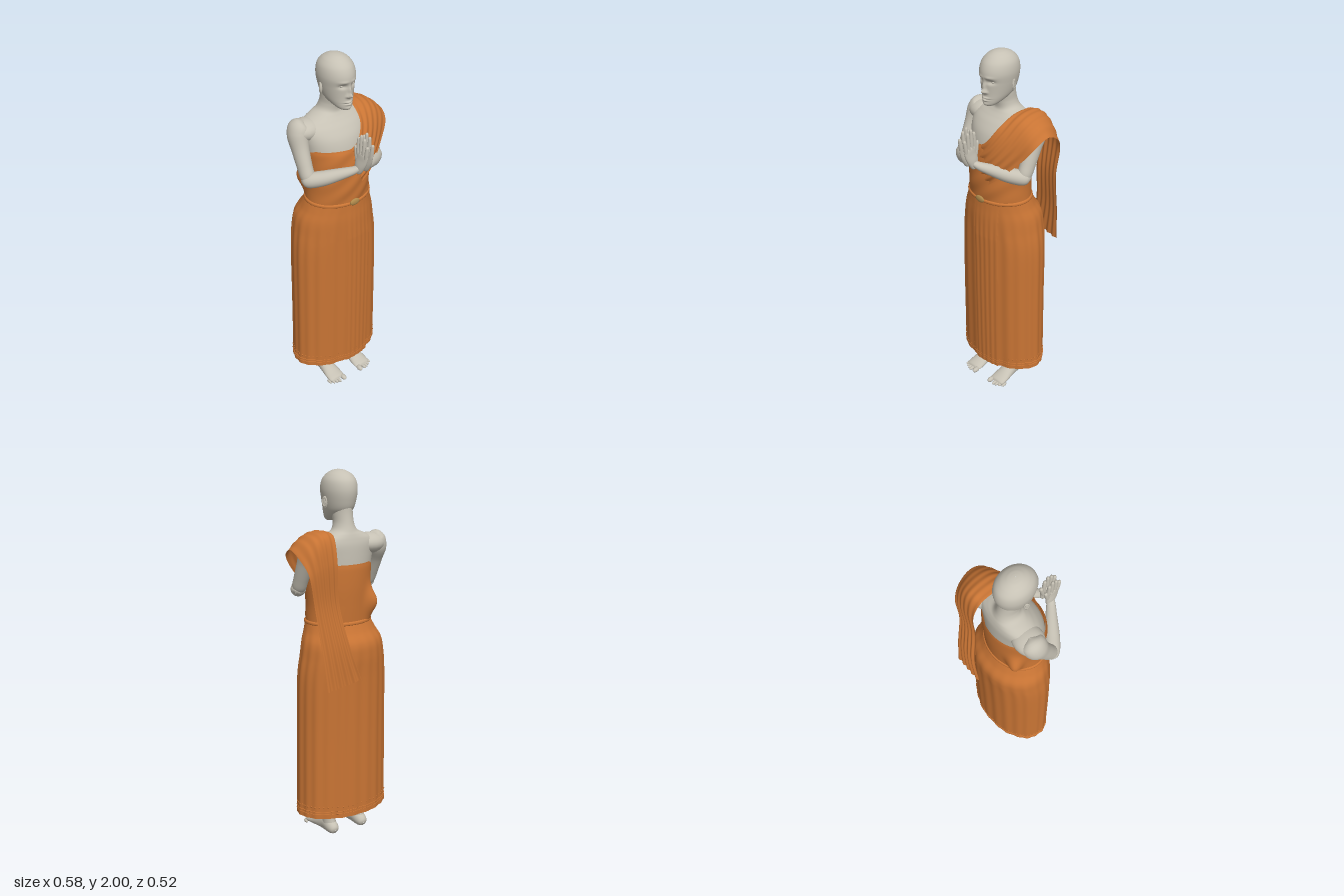
import * as THREE from 'three';
import { ParametricGeometry } from 'three/addons/geometries/ParametricGeometry.js';

const CX = -0.02; // body's own mid plane
const skin = new THREE.MeshStandardMaterial({ color: 0xc6c1b4 });
const cloth = new THREE.MeshStandardMaterial({ color: 0xc87434, side: THREE.DoubleSide });
const metal = new THREE.MeshStandardMaterial({ color: 0xb08a4c });

// Smooth interpolation through rows of numbers, t in 0..1
function smoothRows(rows) {
  const n = rows.length;
  const it = new THREE.CubicInterpolant(rows.map((_, i) => i), rows.flat(), rows[0].length);
  return t => Array.from(it.evaluate(Math.min(Math.max(t, 0), 1) * (n - 1)));
}

function mesh(parent, name, geometry, material) {
  const m = new THREE.Mesh(geometry, material);
  m.name = name;
  parent.add(m);
  return m;
}

// Upright oval body; rows [y, centre x, half width, front z, back z], bottom to top
function loft(rows, nu, nv, ripple = () => 0, face = () => 0) {
  const at = smoothRows(rows);
  return new ParametricGeometry((u, v, p) => {
    const [y, cx, rx, zf, zb] = at(v);
    const a = u * Math.PI * 2 + Math.PI;
    const r = ripple(a, y, Math.sin(a) * rx);
    const x = Math.sin(a) * (rx + r);
    p.set(cx + x, y, (zf + zb) / 2 + Math.cos(a) * ((zf - zb) / 2 + r));
    if (Math.cos(a) > 0) p.z += face(x, y);
  }, nu, nv);
}

// Limb along a path; rows [x, y, z, radius sideways, radius across]
function sweep(rows, nu = 20, nv = 24, ref = new THREE.Vector3(1, 0, 0)) {
  const at = smoothRows(rows);
  return new ParametricGeometry((u, v, p) => {
    const c = at(v), e = 0.01;
    const q0 = at(Math.max(v - e, 0)), q1 = at(Math.min(v + e, 1));
    const t = new THREE.Vector3(q1[0] - q0[0], q1[1] - q0[1], q1[2] - q0[2]).normalize();
    const b = new THREE.Vector3().crossVectors(t, ref).normalize();
    const n = new THREE.Vector3().crossVectors(b, t);
    const a = u * Math.PI * 2;
    p.set(c[0], c[1], c[2])
      .addScaledVector(n, Math.cos(a) * Math.max(c[3], 0.0005))
      .addScaledVector(b, Math.sin(a) * Math.max(c[4], 0.0005));
  }, nu, nv);
}

function ellipsoid(parent, name, material, pos, size) {
  const m = mesh(parent, name, new THREE.SphereGeometry(1, 20, 14), material);
  m.position.set(...pos);
  m.scale.set(...size);
  return m;
}

const bump = (x, y, x0, y0, sx, sy) => Math.exp(-(((x - x0) / sx) ** 2) - ((y - y0) / sy) ** 2);

function faceRelief(x, y) {
  const ax = Math.abs(x);
  return 0.022 * bump(x, y, 0, 1.811, 0.011, 0.011) + 0.014 * bump(x, y, 0, 1.835, 0.008, 0.026)
    + 0.006 * bump(ax, y, 0.013, 1.806, 0.007, 0.007)
    - 0.011 * bump(ax, y, 0.033, 1.862, 0.019, 0.011) + 0.004 * bump(ax, y, 0.03, 1.885, 0.025, 0.008)
    + 0.008 * bump(x, y, 0, 1.775, 0.02, 0.005) + 0.008 * bump(x, y, 0, 1.762, 0.017, 0.005)
    - 0.004 * bump(x, y, 0, 1.7685, 0.022, 0.002) + 0.006 * bump(x, y, 0, 1.742, 0.018, 0.011);
}

function addHead(g) {
  const head = [
    [1.727, 0.002, 0.064, 0.06], [1.732, 0.026, 0.081, 0.03], [1.746, 0.044, 0.087, -0.01],
    [1.77, 0.061, 0.088, -0.07], [1.8, 0.073, 0.088, -0.108], [1.85, 0.084, 0.091, -0.126],
    [1.9, 0.09, 0.097, -0.132], [1.945, 0.083, 0.083, -0.122], [1.975, 0.063, 0.056, -0.096],
    [1.992, 0.037, 0.026, -0.064], [1.998, 0.018, 0.004, -0.04], [2, 0.001, -0.017, -0.019],
  ].map(([y, rx, f, b]) => [y, CX, rx, f, b]);
  mesh(g, 'head', loft(head, 72, 110, undefined, faceRelief), skin);
  for (const s of [-1, 1]) {
    ellipsoid(g, 'eye', skin, [CX + s * 0.033, 1.862, 0.067], [0.014, 0.007, 0.009]);
    const ear = ellipsoid(g, 'ear', skin, [CX + s * 0.088, 1.835, -0.024], [0.007, 0.03, 0.015]);
    ear.rotation.y = s * 0.45;
    const rim = mesh(g, 'earRim', new THREE.TorusGeometry(0.012, 0.004, 8, 24), skin);
    rim.position.set(CX + s * 0.091, 1.839, -0.026);
    rim.rotation.y = Math.PI / 2 + s * 0.45;
    rim.scale.y = 1.8;
  }
}

function addArm(g, s) {
  const X = d => CX + s * d;
  const arm = new THREE.Group();
  arm.name = s > 0 ? 'leftArm' : 'rightArm';
  g.add(arm);
  ellipsoid(arm, 'shoulder', skin, [X(0.155), 1.614, -0.068], [0.095, 0.056, 0.079]);
  mesh(arm, 'upperArm', sweep([
    [X(0.165), 1.668, -0.072, 0.004, 0.004], [X(0.185), 1.647, -0.072, 0.046, 0.056],
    [X(0.204), 1.6, -0.065, 0.054, 0.064], [X(0.213), 1.53, -0.035, 0.044, 0.05],
    [X(0.217), 1.45, 0.002, 0.039, 0.043], [X(0.217), 1.395, 0.028, 0.036, 0.038],
    [X(0.217), 1.36, 0.04, 0.016, 0.016], [X(0.217), 1.355, 0.042, 0, 0]], 24, 32), skin);
  mesh(arm, 'forearm', sweep([
    [X(0.246), 1.37, 0.012, 0, 0], [X(0.238), 1.375, 0.018, 0.025, 0.025],
    [X(0.215), 1.385, 0.04, 0.04, 0.04], [X(0.16), 1.4, 0.087, 0.039, 0.04],
    [X(0.1), 1.422, 0.135, 0.031, 0.032], [X(0.05), 1.442, 0.175, 0.022, 0.025],
    [X(0.025), 1.458, 0.195, 0.016, 0.02]], 24, 32, new THREE.Vector3(0, 1, 0)), skin);
  mesh(arm, 'palm', sweep([
    [X(0.026), 1.425, 0.185, 0.002, 0.002], [X(0.024), 1.433, 0.187, 0.014, 0.02],
    [X(0.021), 1.47, 0.198, 0.017, 0.033], [X(0.018), 1.51, 0.208, 0.014, 0.04],
    [X(0.016), 1.545, 0.212, 0.011, 0.039], [X(0.015), 1.557, 0.212, 0, 0]]), skin);
  const finger = (name, y0, z0, y1, z1, r) => {
    const row = (t, k) => [X(0.017), y0 + (y1 - y0) * t, z0 + (z1 - z0) * t, r * k, r * k];
    mesh(arm, name, sweep([row(0, 1), row(0.35, 1.05), row(0.7, 0.95), row(0.92, 0.75), row(1, 0)], 12, 14), skin);
  };
  [[0.18, 0.186, 1.63], [0.201, 0.206, 1.65], [0.222, 0.229, 1.636], [0.24, 0.252, 1.6]]
    .forEach(([z0, z1, y1]) => finger('finger', 1.525, z0, y1, z1, 0.0105));
  finger('thumb', 1.475, 0.182, 1.575, 0.162, 0.012);
}

function addLeg(g, s) {
  const x = CX + s * 0.094;
  mesh(g, 'leg', sweep([
    [x, 0.03, -0.075, 0.034, 0.05], [x, 0.09, -0.065, 0.034, 0.048], [x, 0.17, -0.06, 0.04, 0.048],
    [x, 0.33, -0.06, 0.054, 0.06], [x, 0.52, -0.05, 0.054, 0.06], [x, 0.8, -0.045, 0.075, 0.08],
    [x, 1.05, -0.045, 0.08, 0.085]], 24, 30), skin);
  mesh(g, 'foot', sweep([
    [x, 0.03, -0.14, 0.002, 0.002], [x, 0.033, -0.13, 0.024, 0.024], [x, 0.04, -0.1, 0.035, 0.038],
    [x, 0.048, -0.04, 0.036, 0.047], [x + s * 0.001, 0.036, 0.02, 0.043, 0.035],
    [x + s * 0.002, 0.024, 0.07, 0.049, 0.023], [x + s * 0.002, 0.017, 0.106, 0.047, 0.014],
    [x + s * 0.002, 0.015, 0.118, 0.03, 0.002]], 24, 36), skin);
  for (let i = 0; i < 5; i++) {
    const r = i ? 0.0105 - i * 0.0006 : 0.0145;
    ellipsoid(g, 'toe', skin, [x + s * (i ? -0.018 + i * 0.0175 : -0.032), r, 0.122 - i * i * 0.0015], [r, r, 0.024 - i * 0.001]);
  }
}

// Skirt with soft pleats and a raised front panel
const skirtRows = [
  [0.14, -0.018, 0.267, 0.122, -0.219], [0.25, -0.018, 0.264, 0.124, -0.219], [0.6, -0.018, 0.26, 0.128, -0.219],
  [0.9, -0.018, 0.255, 0.13, -0.223], [1.04, -0.02, 0.239, 0.131, -0.228], [1.11, -0.02, 0.226, 0.131, -0.22],
  [1.165, -0.018, 0.202, 0.129, -0.185], [1.215, -0.015, 0.184, 0.128, -0.16]];
function pleats(a, y, x) {
  const fade = Math.min(1, Math.max(0, (1.2 - y) * 5));
  const front = Math.cos(a) > 0 && x > -0.045 && x < 0.11;
  return fade * (front ? 0.008 + 0.0015 * Math.sin(x * 200) : 0.002 * Math.sin(a * 21) + 0.0015 * Math.sin(a * 9 + 1));
}

function addSkirt(g) {
  mesh(g, 'skirt', loft(skirtRows, 200, 48, pleats), cloth);
  const [, cx, rx, zf, zb] = skirtRows[0];
  for (const y of [0.165, 0.18]) {
    const band = [-0.002, 0, 0.002].map((d, i) => {
      const out = i === 1 ? 0.002 : -0.001;
      return [y + d, cx, rx + out, zf + out, zb - out];
    });
    mesh(g, 'hemTrim', loft(band, 200, 4, pleats), cloth);
  }
  const stud = new THREE.SphereGeometry(0.005, 8, 6), count = 56;
  const hemStuds = new THREE.Group();
  hemStuds.name = 'hemStuds';
  for (let i = 0; i < count; i++) {
    const a = (i / count) * Math.PI * 2, r = pleats(a, 0.2, Math.sin(a) * rx) - 0.003;
    mesh(hemStuds, 'hemStud', stud, cloth).position.set(
      cx + Math.sin(a) * (rx + r), 0.205, (zf + zb) / 2 + Math.cos(a) * ((zf - zb) / 2 + r));
  }
  g.add(hemStuds);
}

// Sash: rows hold inner edge, middle and outer edge from chest over the shoulder and down the back
function addSash(g) {
  const at = smoothRows([
    [-0.13, 1.47, 0.09, -0.06, 1.37, 0.122, 0.0, 1.29, 0.125],
    [0, 1.54, 0.113, 0.05, 1.45, 0.135, 0.1, 1.37, 0.122],
    [0.06, 1.625, 0.08, 0.135, 1.56, 0.094, 0.215, 1.49, 0.07],
    [0.083, 1.68, 0.005, 0.18, 1.658, 0.025, 0.272, 1.57, 0.03],
    [0.09, 1.692, -0.07, 0.188, 1.69, -0.065, 0.288, 1.61, -0.045],
    [0.09, 1.672, -0.145, 0.185, 1.662, -0.155, 0.28, 1.57, -0.125],
    [0.095, 1.55, -0.186, 0.175, 1.54, -0.188, 0.255, 1.49, -0.175],
    [0.085, 1.33, -0.188, 0.155, 1.33, -0.192, 0.227, 1.32, -0.182],
    [0.045, 1.1, -0.236, 0.125, 1.1, -0.237, 0.208, 1.09, -0.222],
    [-0.01, 0.93, -0.256, 0.09, 0.91, -0.254, 0.19, 0.89, -0.248]]);
  mesh(g, 'sash', new ParametricGeometry((u, v, p) => {
    const c = at(v);
    const ka = (1 - u) * (1 - 2 * u), km = 4 * u * (1 - u), kb = u * (2 * u - 1);
    const [x, y, z] = [0, 1, 2].map(i => ka * c[i] + km * c[i + 3] + kb * c[i + 6]);
    const out = new THREE.Vector3(0, Math.max(0, y - 1.55), z + 0.05).normalize();
    const depth = 0.0015 + 0.0025 * Math.abs(2 * v - 0.9);
    p.set(x, y, z).addScaledVector(out, depth * Math.sin(u * 32 + v * 2));
  }, 64, 100), cloth);
}

export function createModel() {
  const model = new THREE.Group();
  model.name = 'robedFigure';
  // Bare torso and neck
  mesh(model, 'torso', loft([
    [1.22, 0.165, 0.11, -0.14], [1.4, 0.168, 0.112, -0.155], [1.5, 0.176, 0.105, -0.158], [1.57, 0.185, 0.087, -0.158],
    [1.62, 0.188, 0.055, -0.156], [1.652, 0.165, 0.025, -0.15], [1.675, 0.115, 0.005, -0.143],
    [1.695, 0.07, -0.004, -0.135], [1.73, 0.053, 0, -0.124], [1.78, 0.051, 0.012, -0.115], [1.84, 0.048, 0.01, -0.112]]
    .map(([y, rx, f, b]) => [y, CX, rx, f, b]), 56, 54), skin);
  addHead(model);
  for (const s of [-1, 1]) {
    addArm(model, s);
    addLeg(model, s);
  }
  addSkirt(model);
  // Chest wrap with slanting folds and a loose corner at the back right
  mesh(model, 'chestWrap', loft([
    [1.205, -0.015, 0.182, 0.128, -0.16], [1.3, -0.014, 0.177, 0.136, -0.165], [1.4, -0.014, 0.181, 0.133, -0.169],
    [1.49, -0.015, 0.183, 0.124, -0.168], [1.525, -0.015, 0.179, 0.113, -0.164]], 120, 36,
  (a, y, x) => 0.002 * Math.sin(x * 45 - y * 60) * Math.max(0, Math.cos(a))
    + 0.05 * bump(a, y, Math.PI * 1.25, 1.31, 0.22, 0.07)), cloth);
  // Belt and buckle
  mesh(model, 'belt', loft([
    [1.202, -0.015, 0.184, 0.13, -0.163], [1.207, -0.015, 0.189, 0.135, -0.168],
    [1.217, -0.015, 0.188, 0.135, -0.167], [1.222, -0.015, 0.181, 0.129, -0.161]], 90, 10), cloth);
  ellipsoid(model, 'buckle', metal, [-0.017, 1.218, 0.135], [0.031, 0.019, 0.009]);
  addSash(model);
  return model;
}
